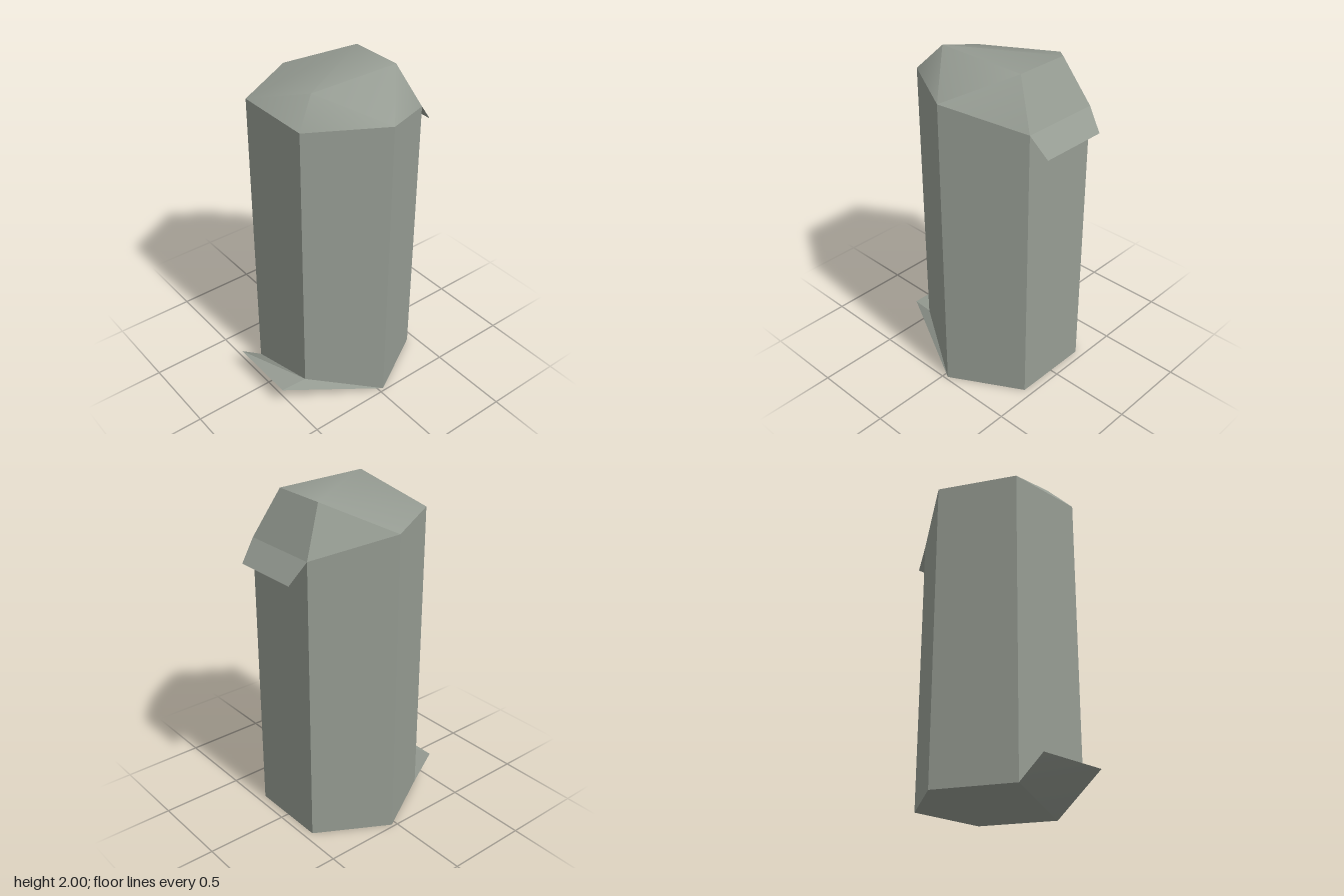
import * as THREE from 'three';
import { toCreasedNormals } from 'three/addons/utils/BufferGeometryUtils.js';

const stone = new THREE.MeshStandardMaterial({ color: 0x969c93 });
stone.name = 'greyGreenStone';
const thinStone = stone.clone(); // same colour for the open sheet
thinStone.side = THREE.DoubleSide;

// six column corners [x, z], counter-clockwise from above
const ring = [[0.484, -0.03], [0.242, -0.45], [-0.242, -0.45], [-0.484, -0.03], [-0.242, 0.392], [0.242, 0.392]];
const bottomY = [0, 0, 0, 0, 0, 0.15]; // front left corner is lifted
const topY = [1.85, 1.73, 1.73, 1.85, 1.85, 1.85]; // back corners are chipped

const bottom = ring.map(([x, z], i) => [x, bottomY[i], z]);
const top = ring.map(([x, z], i) => [x, topY[i], z]);

// mesh from triangles of points, soft only across shallow edges
function facetMesh(name, triangles, material = stone) {
  const g = new THREE.BufferGeometry();
  g.setAttribute('position', new THREE.Float32BufferAttribute(triangles.flat(2), 3));
  const mesh = new THREE.Mesh(toCreasedNormals(g, 0.8), material);
  mesh.name = name;
  return mesh;
}

export function createModel() {
  const group = new THREE.Group();
  group.name = 'hexagonalColumn';

  // six walls
  const walls = [];
  for (let i = 0; i < 6; i++) {
    const j = (i + 1) % 6;
    walls.push([bottom[i], bottom[j], top[j]], [bottom[i], top[j], top[i]]);
  }
  group.add(facetMesh('columnWalls', walls));

  // flat underside without the lifted corner
  const [b0, b1, b2, b3, b4, b5] = bottom;
  group.add(facetMesh('base', [[b0, b4, b3], [b0, b3, b2], [b0, b2, b1]]));

  // lip jutting out at the foot of the front
  const p = [0.218, 0.13, 0.545], q = [-0.218, 0.13, 0.545];
  group.add(facetMesh('frontLip', [
    [b0, b5, p], [b0, p, b4], [b4, p, q], [p, b5, q], [q, b5, b4],
  ]));

  // faceted cap rising to three peaks
  const [t0, t1, t2, t3, t4, t5] = top;
  const a = [0.165, 2, 0.26], b = [0.165, 2, -0.313], c = [-0.165, 2, -0.313];
  group.add(facetMesh('cap', [
    [t4, t5, a], [t5, t0, a], [t0, b, a], [t0, t1, b], [t1, t2, c],
    [t1, c, b], [t2, t3, c], [t3, t4, c], [t4, a, c], [a, b, c],
  ]));

  // thin sheet hanging from the back edge of the cap
  const r = [0.21, 1.61, -0.548], s = [-0.21, 1.61, -0.548];
  group.add(facetMesh('backFlap', [[t2, t1, r], [t2, r, s]], thinStone));

  return group;
}
